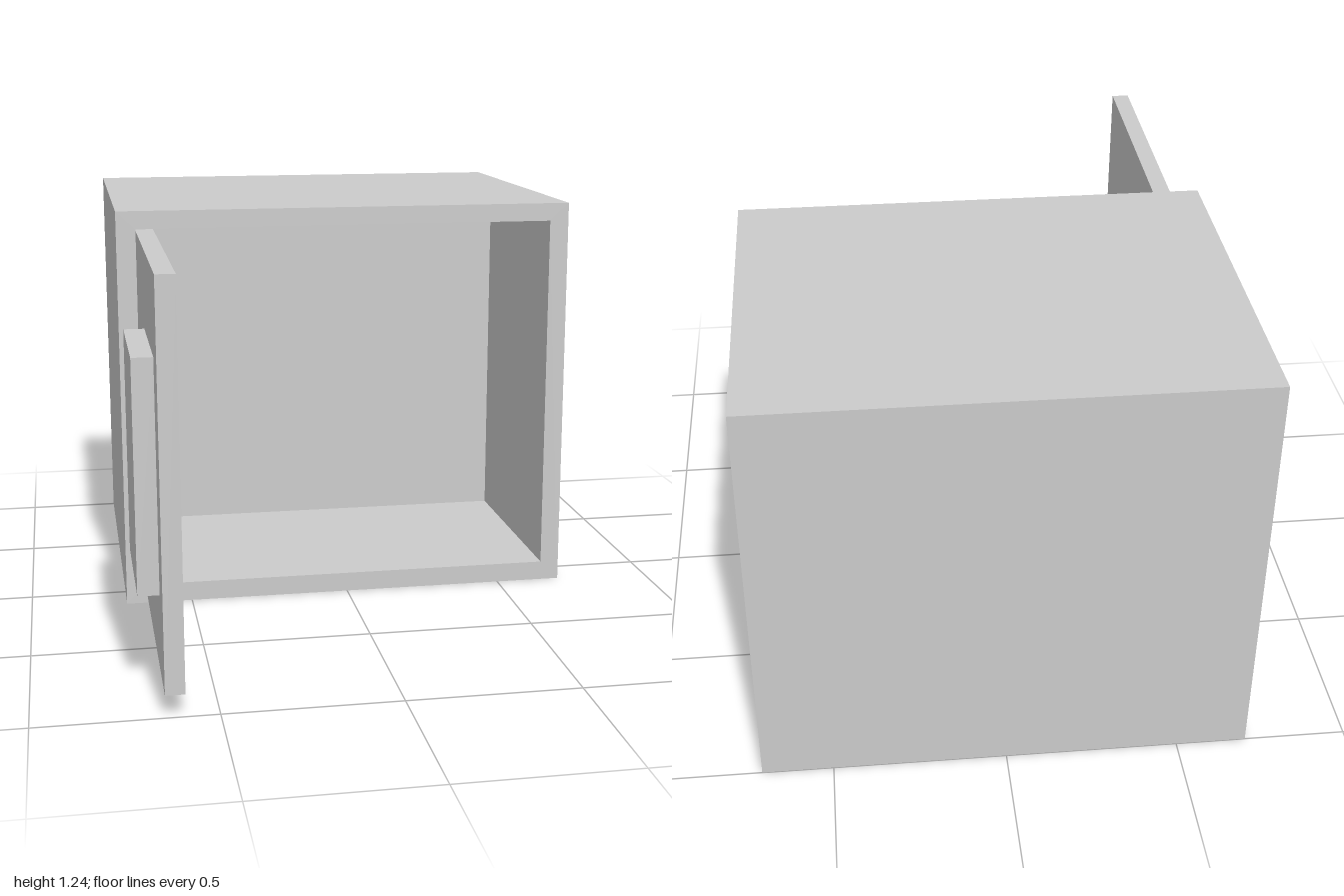
import * as THREE from 'three';

const material = new THREE.MeshStandardMaterial({ color: 0xcccccc, flatShading: true });

// Box given by its lower and upper limits on each axis
function box(name, [x0, x1], [y0, y1], [z0, z1]) {
  const mesh = new THREE.Mesh(new THREE.BoxGeometry(x1 - x0, y1 - y0, z1 - z0), material);
  mesh.position.set((x0 + x1) / 2, (y0 + y1) / 2, (z0 + z1) / 2);
  mesh.name = name;
  return mesh;
}

function rectangle(path, x, y0, y1) {
  path.moveTo(-x, y0).lineTo(x, y0).lineTo(x, y1).lineTo(-x, y1).closePath();
  return path;
}

export function createModel() {
  const model = new THREE.Group();
  model.name = 'openCabinet';

  const halfWidth = 0.705, height = 1.237;
  const front = 0.113, cavityBack = -0.595, back = -1;

  // Walls, floor and ceiling around the open cavity
  const outline = rectangle(new THREE.Shape(), halfWidth, 0, height);
  outline.holes.push(rectangle(new THREE.Path(), 0.646, 0.06, 1.182));
  const walls = new THREE.Mesh(
    new THREE.ExtrudeGeometry(outline, { depth: front - cavityBack, bevelEnabled: false }),
    material
  );
  walls.position.z = cavityBack;
  walls.name = 'cabinetWalls';
  model.add(walls);

  // Solid rear section closing the cavity
  model.add(box('cabinetBack', [-halfWidth, halfWidth], [0, height], [back, cavityBack]));

  // Door swung fully open, its hinge edge just inside the cavity
  const door = new THREE.Group();
  door.name = 'door';
  door.add(box('doorPanel', [-0.646, -0.592], [0.063, 1.178], [0.055, 1]));
  // Raised plate on the outer face of the door
  door.add(box('doorPlate', [-halfWidth, -0.646], [0.298, 0.945], [0.47, 0.878]));
  model.add(door);

  return model;
}
